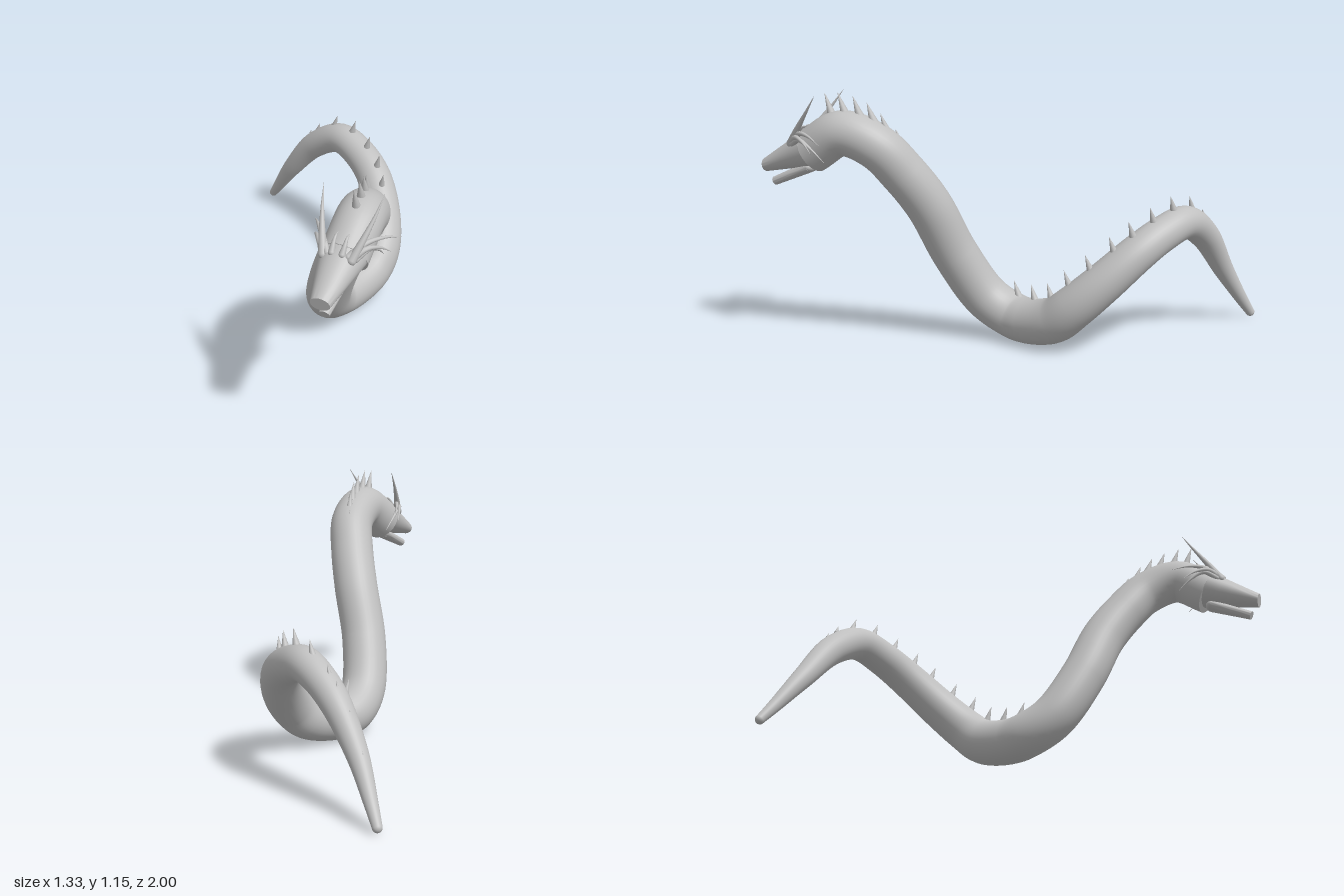
import * as THREE from 'three';
import { toCreasedNormals } from 'three/addons/utils/BufferGeometryUtils.js';

const V = (x, y, z) => new THREE.Vector3(x, y, z);
const CX = 0.476; // middle plane of the head

// Linear lookup in a list of [u, value]
function lookup(table, u) {
  for (let i = 1; i < table.length; i++) {
    const [a, va] = table[i - 1], [b, vb] = table[i];
    if (u <= b) return va + (vb - va) * (u - a) / (b - a);
  }
  return table[table.length - 1][1];
}

// Tube whose radius follows a function of the length
function taperedTube(curve, radius, segments, sides) {
  const geo = new THREE.TubeGeometry(curve, segments, 1, sides);
  const pos = geo.attributes.position, v = V(0, 0, 0);
  for (let i = 0; i <= segments; i++) {
    const c = curve.getPointAt(i / segments), r = radius(i / segments);
    for (let j = 0; j <= sides; j++) {
      const k = i * (sides + 1) + j;
      v.fromBufferAttribute(pos, k).sub(c).multiplyScalar(r).add(c);
      pos.setXYZ(k, v.x, v.y, v.z);
    }
  }
  return geo;
}

// Tapered jaw between two tilted ellipses, each { rx, top: [y, z], bottom: [y, z] }
function jawGeometry(back, front) {
  const geo = new THREE.CylinderGeometry(1, 1, 1, 32, 4);
  const pos = geo.attributes.position, L = THREE.MathUtils.lerp;
  for (let i = 0; i < pos.count; i++) {
    const t = pos.getY(i) + 0.5, s = (1 - pos.getZ(i)) / 2;
    const at = (k) => L(L(back.bottom[k], back.top[k], s), L(front.bottom[k], front.top[k], s), t);
    pos.setXYZ(i, CX + pos.getX(i) * L(back.rx, front.rx, t), at(0), at(1));
  }
  return toCreasedNormals(geo, 0.7);
}

export function createModel() {
  const model = new THREE.Group();
  const grey = new THREE.MeshStandardMaterial({ color: 0xc0c0c0 });
  grey.name = 'grey';
  const add = (geo, name, parent = model) => {
    const mesh = new THREE.Mesh(geo, grey);
    mesh.name = name;
    parent.add(mesh);
    return mesh;
  };

  // Serpentine body, from the neck to the tail
  const path = new THREE.CatmullRomCurve3([
    V(CX, 0.877, 0.755), V(0.478, 0.965, 0.6), V(0.445, 0.91, 0.45), V(0.38, 0.79, 0.355),
    V(0.3, 0.635, 0.27), V(0.2, 0.4, 0.19), V(0.125, 0.19, 0.07), V(0.112, 0.115, -0.05),
    V(0.14, 0.105, -0.14), V(0.19, 0.14, -0.29), V(0.203, 0.21, -0.38), V(0.165, 0.32, -0.5),
    V(0.07, 0.45, -0.63), V(-0.04, 0.52, -0.71), V(-0.17, 0.55, -0.775), V(-0.33, 0.46, -0.825),
    V(-0.49, 0.265, -0.88), V(-0.6, 0.1, -0.945), V(-0.65, 0.025, -0.978),
  ]);
  path.arcLengthDivisions = 1000;
  const radii = [[0, 0.1], [0.25, 0.104], [0.5, 0.104], [0.6, 0.092], [0.68, 0.083],
    [0.76, 0.076], [0.83, 0.065], [0.9, 0.048], [0.97, 0.029], [1, 0.021]];
  const bodyRadius = (u) => lookup(radii, u);
  add(taperedTube(path, bodyRadius, 160, 32), 'body');
  add(new THREE.SphereGeometry(0.021, 20, 12), 'tailTip').position.copy(path.getPointAt(1));
  const neckCap = add(new THREE.CircleGeometry(0.1, 32), 'neckCap');
  neckCap.position.copy(path.getPointAt(0));
  neckCap.quaternion.setFromUnitVectors(V(0, 0, 1), path.getTangentAt(0).negate());

  // Points along the ridge of the back
  const ridge = [];
  for (let i = 0; i <= 600; i++) {
    const u = i / 600, t = path.getTangentAt(u).negate();
    const n = V(0, 1, 0).addScaledVector(t, -t.y).normalize();
    ridge.push({ t, p: path.getPointAt(u).addScaledVector(n, bodyRadius(u)) });
  }

  // Spikes as [z on the ridge, height], leaning towards the head
  const spikes = new THREE.Group();
  spikes.name = 'backSpikes';
  model.add(spikes);
  [[0.65, 0.09], [0.587, 0.085], [0.525, 0.08], [0.465, 0.075], [0.415, 0.055], [0.37, 0.02],
    [-0.085, 0.07], [-0.18, 0.07], [-0.27, 0.065], [-0.36, 0.065], [-0.45, 0.065],
    [-0.54, 0.065], [-0.61, 0.07], [-0.68, 0.07], [-0.74, 0.07], [-0.79, 0.055],
    [-0.82, 0.035], [-0.836, 0.02], [-0.86, 0.012], [-0.9, 0.01]].forEach(([z, h]) => {
    const { t, p } = ridge.reduce((a, b) => (Math.abs(b.p.z - z) < Math.abs(a.p.z - z) ? b : a));
    const dir = V(t.x, 0, t.z).normalize().multiplyScalar(0.35).add(V(0, 1, 0)).normalize();
    const sunk = h * 0.25, r = Math.min(0.021, h * 0.28);
    const spike = add(new THREE.ConeGeometry(r, h + sunk, 14), 'spike', spikes);
    spike.position.copy(p).addScaledVector(dir, (h - sunk) / 2);
    spike.quaternion.setFromUnitVectors(V(0, 1, 0), dir);
  });

  // Head
  add(jawGeometry(
    { rx: 0.098, top: [0.962, 0.8], bottom: [0.815, 0.72] },
    { rx: 0.042, top: [0.83, 0.998], bottom: [0.77, 0.985] }), 'upperJaw');
  add(jawGeometry(
    { rx: 0.042, top: [0.83, 0.775], bottom: [0.782, 0.755] },
    { rx: 0.023, top: [0.746, 0.958], bottom: [0.71, 0.942] }), 'lowerJaw');
  const hinge = add(new THREE.SphereGeometry(1, 24, 16), 'jawHinge');
  hinge.position.set(CX, 0.806, 0.765);
  hinge.scale.set(0.042, 0.025, 0.03);

  // Horns and swept-back whiskers, mirrored: root radius and offsets from the middle plane
  const strands = [
    ['horn', 0.019, [0.06, 0.915, 0.825], [0.085, 0.985, 0.775], [0.112, 1.07, 0.71], [0.127, 1.14, 0.66]],
    ['upperWhisker', 0.016, [0.045, 0.925, 0.82], [0.09, 0.965, 0.765], [0.14, 0.965, 0.69], [0.185, 0.935, 0.61]],
    ['middleWhisker', 0.016, [0.06, 0.92, 0.82], [0.1, 0.95, 0.775], [0.135, 0.935, 0.72], [0.163, 0.893, 0.665]],
    ['lowerWhisker', 0.014, [0.07, 0.915, 0.81], [0.105, 0.94, 0.755], [0.118, 0.905, 0.69], [0.117, 0.848, 0.625]],
    ['crownSpike', 0.014, [0.022, 0.935, 0.83], [0.024, 0.967, 0.805], [0.024, 0.985, 0.785], [0.024, 0.99, 0.75]],
  ];
  for (const [side, sx] of [['left', 1], ['right', -1]]) {
    for (const [name, r, ...pts] of strands) {
      const curve = new THREE.CatmullRomCurve3(pts.map(([x, y, z]) => V(CX + sx * x, y, z)));
      const label = side + name[0].toUpperCase() + name.slice(1);
      add(taperedTube(curve, (u) => r * (1 - u) + 0.0004, 20, 12), label);
      add(new THREE.SphereGeometry(r, 12, 8), label + 'Root').position.copy(curve.getPointAt(0));
    }
  }
  return model;
}
